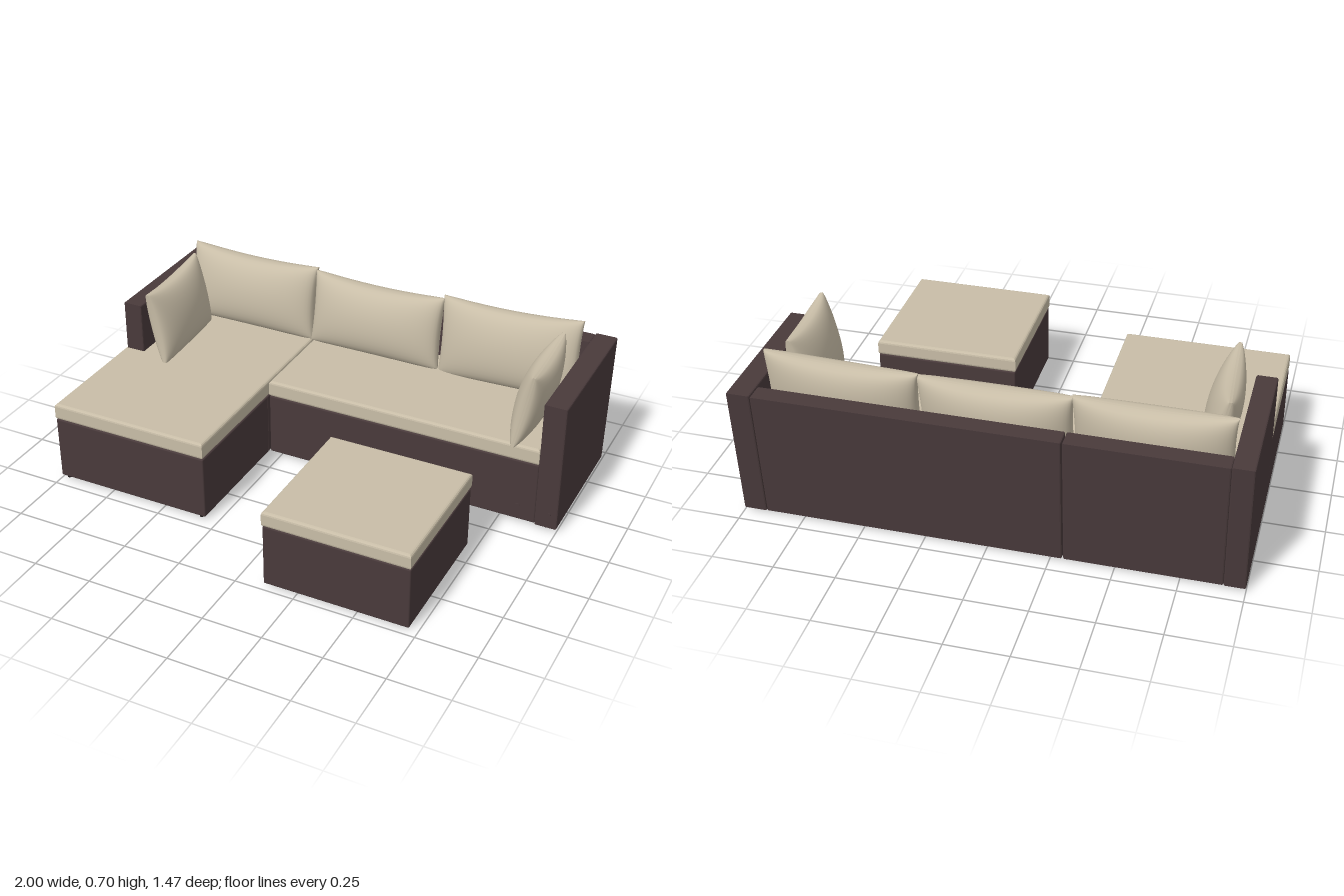
import * as THREE from 'three';
import { RoundedBoxGeometry } from 'three/addons/geometries/RoundedBoxGeometry.js';

export function createModel() {
  const wicker = new THREE.MeshStandardMaterial({ color: 0x493a3b });
  wicker.name = 'brown wicker';
  const fabric = new THREE.MeshStandardMaterial({ color: 0xc8bda7 });
  fabric.name = 'beige fabric';
  const rubber = new THREE.MeshStandardMaterial({ color: 0x231d1d });
  rubber.name = 'dark rubber';

  const root = new THREE.Group();
  root.name = 'sectionalSofaSet';
  const add = (name, geometry, material) => {
    const mesh = new THREE.Mesh(geometry, material);
    mesh.name = name;
    root.add(mesh);
    return mesh;
  };

  // Box given by its limits, with softly rounded edges
  const block = (name, x0, x1, y0, y1, z0, z1, r = 0.006, mat = wicker) =>
    add(name, new RoundedBoxGeometry(x1 - x0, y1 - y0, z1 - z0, 2, r), mat)
      .position.set((x0 + x1) / 2, (y0 + y1) / 2, (z0 + z1) / 2);

  // Bevelled prism whose bevel stays inside the outline
  const prism = (points, depth, b, segments) => {
    const shape = new THREE.Shape(points.map(([x, y]) => new THREE.Vector2(x, y)));
    const g = new THREE.ExtrudeGeometry(shape, {
      depth: depth - 2 * b, bevelSize: b, bevelThickness: b, bevelOffset: -b, bevelSegments: segments,
    });
    return g.translate(0, 0, b);
  };

  // Upright panel: side profile in (z, y), spanning x0..x1
  const panel = (name, profile, x0, x1) =>
    add(name, prism(profile, x1 - x0, 0.006, 2).rotateY(-Math.PI / 2).translate(x1, 0, 0), wicker);

  // Flat seat cushion: outline in (x, z)
  const seatCushion = (name, outline, y0, y1) =>
    add(name, prism(outline.map(([x, z]) => [x, -z]), y1 - y0, 0.012, 3)
      .rotateX(-Math.PI / 2).translate(0, y0, 0), fabric);

  // Arms and back, raked at the rear
  const arm = [[-0.095, 0.013], [-0.095, 0.575], [-0.735, 0.575], [-0.69, 0.013]];
  panel('rightArm', arm, -1, -0.915);
  panel('leftArm', arm, 0.905, 1);
  const back = [[-0.61, 0.013], [-0.655, 0.57], [-0.733, 0.57], [-0.688, 0.013]];
  panel('chaiseBack', back, -0.915, -0.302);
  panel('sofaBack', back, -0.298, 0.905);

  // Bases
  block('chaiseRearBase', -0.915, -0.302, 0.013, 0.29, -0.64, -0.09);
  block('chaiseFrontBase', -1, -0.302, 0.013, 0.29, -0.094, 0.455);
  block('sofaBase', -0.298, 0.905, 0.013, 0.29, -0.64, -0.1);
  block('ottomanBase', 0.112, 0.717, 0.013, 0.28, 0.147, 0.728);

  // Seat cushions
  seatCushion('chaiseCushion', [[-1, 0.457], [-0.302, 0.457], [-0.302, -0.635],
    [-0.914, -0.635], [-0.914, -0.092], [-1, -0.092]], 0.29, 0.362);
  seatCushion('sofaCushion', [[-0.298, -0.097], [0.904, -0.097], [0.904, -0.635], [-0.298, -0.635]], 0.29, 0.362);
  seatCushion('ottomanCushion', [[0.11, 0.732], [0.718, 0.732], [0.718, 0.143], [0.11, 0.143]], 0.28, 0.346);

  // Stuffed pillow: puffed faces, pinched corners and a narrow rim
  const pillow = (name, w, h, t, roll, tilt, yaw, position) => {
    const g = new THREE.BoxGeometry(2, 2, 2, 28, 20, 1);
    const p = g.attributes.position;
    for (let i = 0; i < p.count; i++) {
      const u = Math.sin(p.getX(i) * Math.PI / 2);
      const v = Math.sin(p.getY(i) * Math.PI / 2);
      const puff = Math.pow(Math.max(0, (1 - u * u) * (1 - v * v)), 0.42);
      p.setXYZ(i,
        u * w / 2 * (1 - 0.03 * (1 - v * v)),
        v * h / 2 * (1 - 0.1 * (1 - u * u) * (v > 0 ? 1 : 0.3)),
        Math.sign(p.getZ(i)) * (0.005 + (t / 2 - 0.005) * puff));
    }
    g.computeVertexNormals();
    g.rotateZ(roll).rotateX(tilt).rotateY(yaw).translate(...position);
    add(name, g, fabric);
  };
  pillow('backPillowRight', 0.61, 0.33, 0.175, 0, -0.18, 0, [-0.608, 0.518, -0.55]);
  pillow('backPillowMiddle', 0.6, 0.32, 0.175, 0, -0.18, 0, [-0.007, 0.513, -0.545]);
  pillow('backPillowLeft', 0.61, 0.345, 0.165, 0.03, -0.18, 0, [0.595, 0.52, -0.555]);
  pillow('armPillowRight', 0.44, 0.325, 0.135, 0, -0.2, Math.PI / 2 + 0.06, [-0.82, 0.515, -0.255]);
  pillow('armPillowLeft', 0.4, 0.335, 0.135, 0, -0.2, -Math.PI / 2 + 0.04, [0.818, 0.52, -0.285]);

  // Short feet under every module
  const feet = [
    [[-0.975, -0.33], [-0.65, -0.12, 0.435]],
    [[-0.27, 0.12, 0.86], [-0.65, -0.145]],
    [[0.14, 0.69], [0.19, 0.68]],
    [[0.95], [-0.65, -0.12]],
  ];
  for (const [xs, zs] of feet) for (const x of xs) for (const z of zs) {
    add('foot', new THREE.CylinderGeometry(0.009, 0.009, 0.016, 10), rubber).position.set(x, 0.008, z);
  }

  // Small bolt caps near the left arm
  for (const [x, z, r] of [[0.828, -0.1, 0.011], [0.965, -0.095, 0.006]]) {
    const g = new THREE.CylinderGeometry(r, r, 0.006, 12).rotateX(Math.PI / 2);
    add('boltCap', g, wicker).position.set(x, 0.077, z);
  }

  return root;
}
